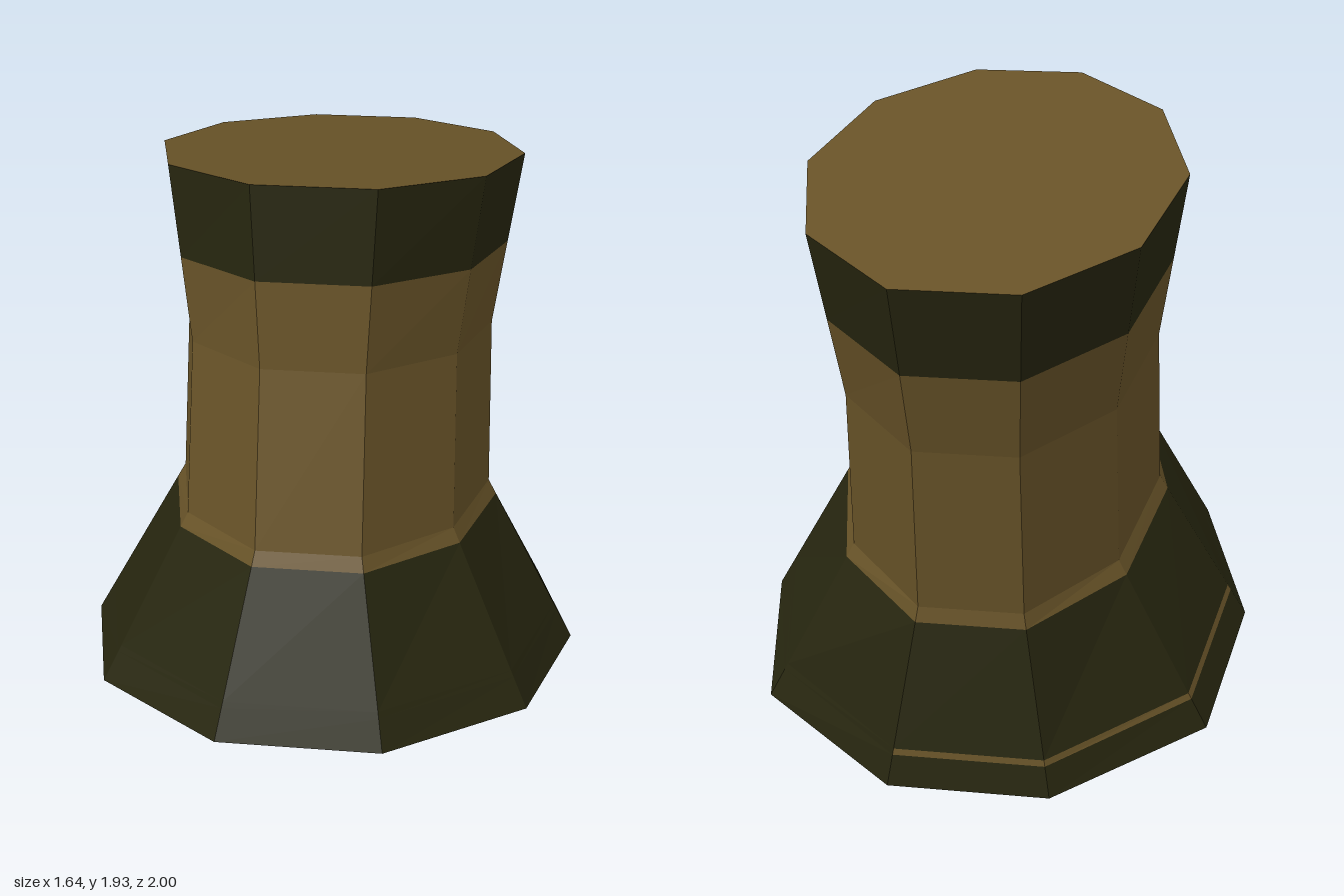
import * as THREE from 'three';

const SIDES = 10;

// Tilted ten-sided ring: centre height and depth, half rise and half depth, half widths front to back
function ring(cy, cz, hy, hz, widths) {
  return Array.from({ length: SIDES }, (_, i) => {
    const c = Math.cos((18 + 36 * i) * Math.PI / 180) / Math.cos(Math.PI / 10);
    const x = i < 5 ? widths[i] : -widths[9 - i];
    return new THREE.Vector3(x, cy + hy * c, cz + hz * c);
  });
}

const evenWidths = (w) => [0.31, 0.81, 1, 0.81, 0.31].map((k) => k * w);
const blend = (a, b, t) => a.map((p, i) => p.clone().lerp(b[i], t));

function meshFrom(name, points, material) {
  const geometry = new THREE.BufferGeometry().setFromPoints(points);
  geometry.computeVertexNormals();
  const mesh = new THREE.Mesh(geometry, material);
  mesh.name = name;
  return mesh;
}

// Walls joining successive rings, on the chosen sides
function wall(name, rings, material, useSide = () => true) {
  const points = [];
  for (let r = 0; r + 1 < rings.length; r++) {
    const [a, b] = [rings[r], rings[r + 1]];
    for (let i = 0; i < SIDES; i++) {
      const j = (i + 1) % SIDES;
      if (useSide(i)) points.push(a[i], a[j], b[j], a[i], b[j], b[i]);
    }
  }
  return meshFrom(name, points, material);
}

function cap(name, loop, material, up) {
  const points = [];
  for (let i = 1; i + 1 < SIDES; i++) {
    points.push(loop[0], ...(up ? [loop[i], loop[i + 1]] : [loop[i + 1], loop[i]]));
  }
  return meshFrom(name, points, material);
}

export function createModel() {
  const brown = new THREE.MeshStandardMaterial({ color: 0x685328, flatShading: true });
  brown.name = 'brown';
  const green = new THREE.MeshStandardMaterial({ color: 0x27260f, flatShading: true });
  green.name = 'darkGreen';

  const base = ring(0.175, 0.07, 0.175, 0.928, [0.25, 0.67, 0.82, 0.71, 0.25]);
  const waist = ring(0.715, -0.025, 0.135, 0.745, evenWidths(0.515));
  const chest = ring(1.25, -0.13, 0.133, 0.713, evenWidths(0.5));
  const top = ring(1.79, -0.23, 0.14, 0.77, evenWidths(0.58));

  // Colour boundaries and a narrow seam near the flared hem
  const hemTop = blend(waist, base, 0.085);
  const seamTop = blend(waist, base, 0.79);
  const seamBottom = blend(waist, base, 0.825);
  const collarBottom = blend(chest, top, 0.485);
  const onSeam = (i) => i >= 4 && i <= 6;

  const group = new THREE.Group();
  group.name = 'flaredTorso';
  group.add(
    cap('baseCap', base, green, false),
    wall('hem', [base, seamBottom], green),
    wall('hemSeam', [seamBottom, seamTop], brown, onSeam),
    wall('hemBand', [seamBottom, seamTop], green, (i) => !onSeam(i)),
    wall('flare', [seamTop, hemTop], green),
    wall('body', [hemTop, waist, chest, collarBottom], brown),
    wall('collar', [collarBottom, top], green),
    cap('topCap', top, brown, true),
  );
  return group;
}
